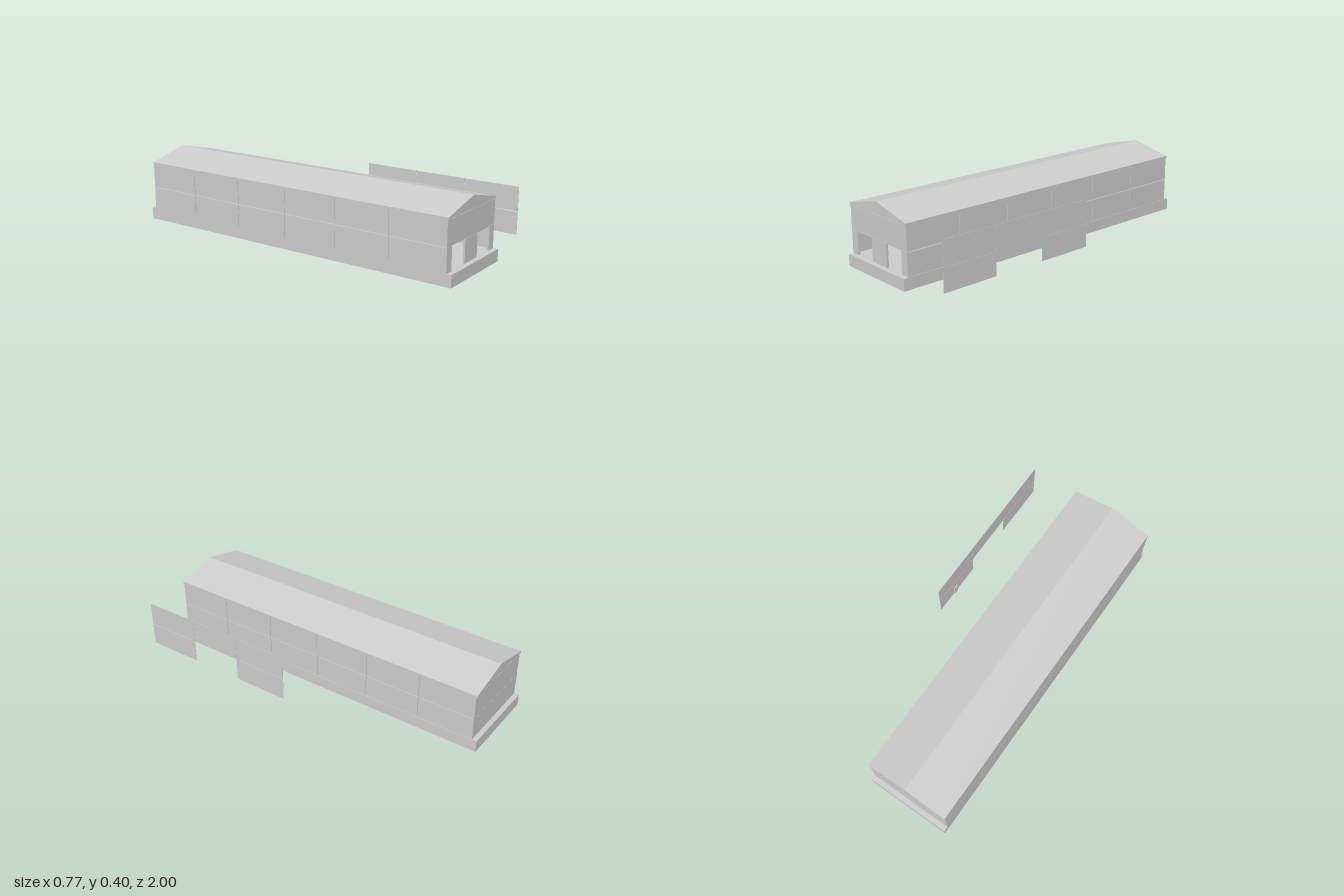
import * as THREE from 'three';

const mat = new THREE.MeshStandardMaterial({ color: 0xcccccc, flatShading: true, side: THREE.DoubleSide });
const X0 = -0.385, X1 = 0.102, RIDGE = -0.14;   // building width and ridge line
const Z = 0.972, FLOOR = 0.066, MID = 0.195, EAVE = 0.331;
const T = 0.012, GAP = 0.0015;                  // panel thickness and joint width

export function createModel() {
  const model = new THREE.Group();

  // box given by its minimum and maximum corners
  function box(parent, name, x0, x1, y0, y1, z0, z1) {
    const mesh = new THREE.Mesh(new THREE.BoxGeometry(x1 - x0, y1 - y0, z1 - z0), mat);
    mesh.position.set((x0 + x1) / 2, (y0 + y1) / 2, (z0 + z1) / 2);
    mesh.name = name;
    parent.add(mesh);
  }

  // outline in x and y, extruded from z0 to z1
  function prism(parent, name, points, z0, z1) {
    const shape = new THREE.Shape(points.map(([x, y]) => new THREE.Vector2(x, y)));
    const geo = new THREE.ExtrudeGeometry(shape, { depth: z1 - z0, bevelEnabled: false });
    const mesh = new THREE.Mesh(geo, mat);
    mesh.position.z = z0;
    mesh.name = name;
    parent.add(mesh);
  }

  function group(name) {
    const g = new THREE.Group();
    g.name = name;
    model.add(g);
    return g;
  }

  // foundation, slightly longer than the walls
  box(model, 'foundation', X0, 0.105, 0, FLOOR, -1, 1);

  // long walls: two rows of six panels with narrow joints
  const bay = (2 * Z) / 6;
  const rows = [[FLOOR, MID - GAP], [MID + GAP, EAVE]];
  for (const [name, x] of [['rightWall', X0], ['leftWall', X1 - T]]) {
    const wall = group(name);
    for (const [y0, y1] of rows) {
      for (let i = 0; i < 6; i++) {
        const z0 = -Z + i * bay + (i ? GAP : 0);
        const z1 = -Z + (i + 1) * bay - (i < 5 ? GAP : 0);
        box(wall, 'wallPanel', x, x + T, y0, y1, z0, z1);
      }
    }
  }

  // end walls: lower row (doorways at the front), upper row and gable
  const piers = [[X0, -0.335], [-0.203, -0.077], [0.053, X1]];
  for (const [name, z, lower] of [['frontWall', Z - T, piers], ['backWall', -Z, [[X0, X1]]]]) {
    const wall = group(name);
    for (const [a, b] of lower) box(wall, 'lowerPanel', a, b, FLOOR, MID - GAP, z, z + T);
    box(wall, 'upperPanel', X0, X1, MID, EAVE - GAP, z, z + T);
    prism(wall, 'gable', [[X0, EAVE], [X1, EAVE], [RIDGE, 0.389]], z, z + T);
  }

  // low-pitched roof sheet
  prism(model, 'roof', [
    [X0, EAVE], [RIDGE, 0.389], [0.103, EAVE],
    [0.103, 0.343], [RIDGE, 0.401], [X0, 0.343],
  ], -0.978, 0.976);

  // detached wall section with a doorway in its middle bay
  const screen = group('detachedWall');
  const cols = [0.02, 0.342, 0.648, Z];
  for (let r = 0; r < 2; r++) {
    for (let i = 0; i < 3; i++) {
      if (r === 0 && i === 1) continue;
      box(screen, 'screenPanel', 0.382, 0.384, rows[r][0], rows[r][1], cols[i], cols[i + 1] - GAP);
    }
  }
  // small post standing against the inner face
  box(screen, 'post', 0.376, 0.382, FLOOR, 0.135, 0.15, 0.18);

  return model;
}
